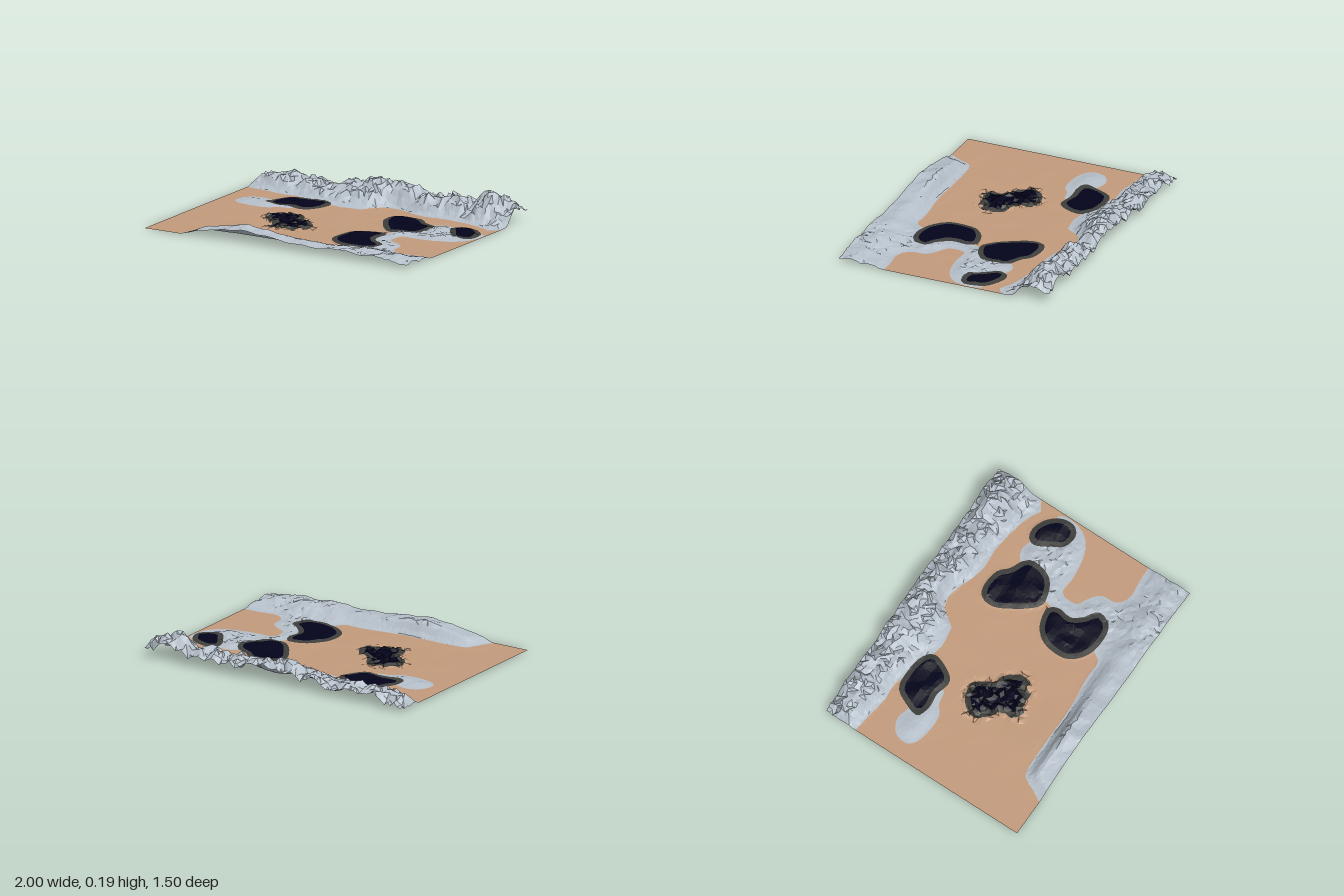
import * as THREE from 'three';

const NX = 76, NZ = 57, RIM = 0.036;

// Closed smooth outline through [x, z, x, z, ...]
function outline(c) {
  const pts = [];
  for (let i = 0; i < c.length; i += 2) pts.push(new THREE.Vector3(c[i], 0, c[i + 1]));
  return new THREE.CatmullRomCurve3(pts, true, 'centripetal').getPoints(80);
}

// Signed distance to an outline, positive inside
function inside(pts, x, z) {
  let best = 9, odd = false;
  for (let i = 1; i < pts.length; i++) {
    const a = pts[i - 1], b = pts[i], dx = b.x - a.x, dz = b.z - a.z;
    const t = THREE.MathUtils.clamp(((x - a.x) * dx + (z - a.z) * dz) / (dx * dx + dz * dz || 1), 0, 1);
    best = Math.min(best, Math.hypot(x - a.x - t * dx, z - a.z - t * dz));
    if ((a.z > z) !== (b.z > z) && x < a.x + ((z - a.z) / dz) * dx) odd = !odd;
  }
  return odd ? best : -best;
}

// Linear lookup in [x, value, x, value, ...]
function lookup(t, x) {
  for (let i = 2; i < t.length; i += 2) {
    if (x <= t[i]) return THREE.MathUtils.lerp(t[i - 1], t[i + 1], (x - t[i - 2]) / (t[i] - t[i - 2]));
  }
  return t[t.length - 1];
}

// Repeatable noise in -1..1
function hash(i, j) {
  const s = Math.sin(i * 127.1 + j * 311.7) * 43758.5453;
  return (s - Math.floor(s)) * 2 - 1;
}
function noise(x, z) {
  const i = Math.floor(x), j = Math.floor(z), u = x - i, v = z - j, L = THREE.MathUtils.lerp;
  return L(L(hash(i, j), hash(i + 1, j), u), L(hash(i, j + 1), hash(i + 1, j + 1), u), v);
}

// Pits
const pits = [
  [-0.69, -0.24, -0.66, -0.36, -0.6, -0.45, -0.48, -0.47, -0.35, -0.45, -0.28, -0.39, -0.32, -0.26, -0.38, -0.2, -0.5, -0.22, -0.6, -0.21],
  [0.21, -0.26, 0.22, -0.35, 0.28, -0.39, 0.43, -0.375, 0.49, -0.32, 0.6, -0.26, 0.61, -0.14, 0.57, -0.06, 0.48, -0.01, 0.4, 0, 0.33, -0.06, 0.26, -0.16],
  [0.17, 0.23, 0.2, 0.13, 0.28, 0.06, 0.4, 0.04, 0.44, 0.1, 0.43, 0.2, 0.48, 0.27, 0.56, 0.33, 0.55, 0.4, 0.5, 0.45, 0.35, 0.46, 0.25, 0.42, 0.18, 0.34],
  [0.71, -0.28, 0.73, -0.33, 0.8, -0.35, 0.9, -0.31, 0.96, -0.24, 0.97, -0.14, 0.92, -0.09, 0.82, -0.1, 0.77, -0.17],
].map(outline);
const raggedPit = outline([-0.5, 0.05, -0.44, -0.04, -0.38, -0.07, -0.31, -0.08, -0.25, -0.02, -0.22, 0.04, -0.13, 0.08, -0.07, 0.2, -0.09, 0.25, -0.15, 0.23, -0.14, 0.28, -0.24, 0.29, -0.3, 0.32, -0.36, 0.28, -0.36, 0.2, -0.45, 0.13]);

// Rock areas
const rocks = [
  [0.58, -0.3, 0.65, -0.33, 0.75, -0.3, 0.98, -0.25, 0.97, -0.08, 0.9, 0, 0.8, 0.04, 0.65, 0.06, 0.54, 0.06, 0.53, 0.18, 0.6, 0.22, 0.67, 0.28, 0.68, 0.38, 0.75, 0.44, 1.05, 0.44, 1.1, 0.85, -0.76, 0.85, -0.74, 0.75, -0.7, 0.68, -0.65, 0.58, -0.6, 0.56, -0.4, 0.55, -0.1, 0.55, 0.15, 0.52, 0.28, 0.52, 0.32, 0.46, 0.4, 0.35, 0.41, 0.1, 0.45, -0.05, 0.5, -0.2],
  [-0.89, -0.2, -0.87, -0.29, -0.78, -0.34, -0.68, -0.32, -0.5, -0.3, -0.45, -0.2, -0.55, -0.17, -0.6, -0.13, -0.72, -0.12, -0.85, -0.15],
].map(outline);
const backEdge = [-1, -0.52, -0.85, -0.5, -0.72, -0.48, -0.6, -0.49, -0.5, -0.46, -0.3, -0.4, -0.2, -0.38, -0.06, -0.4, -0.02, -0.46, 0.03, -0.52, 0.1, -0.54, 0.2, -0.52, 0.3, -0.48, 0.4, -0.46, 0.55, -0.47, 0.7, -0.45, 0.8, -0.43, 0.88, -0.4, 0.93, -0.37, 1, -0.42];

// Ridge crest heights along x
const backCrest = [-1, 0.03, -0.95, 0.065, -0.8, 0.085, -0.6, 0.09, -0.4, 0.08, -0.25, 0.12, -0.2, 0.1, -0.15, 0.14, -0.05, 0.145, 0.1, 0.14, 0.2, 0.125, 0.25, 0.1, 0.4, 0.105, 0.65, 0.09, 0.7, 0.13, 0.8, 0.175, 0.9, 0.14, 1, 0.08];
const frontCrest = [-0.72, 0, -0.6, 0.03, -0.4, 0.057, -0.25, 0.068, -0.1, 0.055, 0.1, 0.034, 0.3, 0.03, 0.55, 0.038, 0.75, 0.03, 1, 0.012];

// Ground point: position plus the three area fields
function groundPoint(i, j) {
  const edgeX = i === 0 || i === NX, edgeZ = j === 0 || j === NZ;
  const x = (i + (edgeX ? 0 : hash(i, j + 99) * 0.28)) * 2 / NX - 1;
  const z = (j + (edgeZ ? 0 : hash(i + 77, j) * 0.28)) * 1.5 / NZ - 0.75;
  const step = THREE.MathUtils.smoothstep;
  const back = lookup(backEdge, x) - z;
  const rock = Math.max(back, ...rocks.map((r) => inside(r, x, z)));
  const ragged = inside(raggedPit, x, z) + hash(i, j) * (0.003 + 0.006 * step(z, 0.08, 0.2));
  const pit = Math.max(ragged, ...pits.map((p) => inside(p, x, z)));
  const broad = noise(x * 15 + 40, z * 15 + 40);
  const rough = hash(i + 31, j + 17) * 0.45 + broad;

  let y = 0.005 + noise(x * 8 + 9, z * 8 + 9) * 0.002 * (1 - step(Math.abs(x), 0.6, 0.9));
  if (rock > 0) {
    const grow = step(rock, 0, 0.09);
    const jag = step(x, 0.3, 0.6);
    y += grow * (0.012 + rough * (0.002 + 0.01 * jag));
    // Front ridge, highest just inside the border
    const f = step(z, 0.46, 0.66) * (1 + 0.22 * Math.exp(-(((z - 0.64) / 0.06) ** 2)));
    y += f * grow * lookup(frontCrest, x) * (1 + 0.15 * broad);
  }
  if (back > 0) {
    // Jagged back ridge
    const near = step(back, 0, 0.1), rise = near * step(-z, 0.42, 0.67);
    y += rise * (lookup(backCrest, x) * (1 - 0.25 * step(-z, 0.68, 0.75)) - 0.01);
    y += rough * near * (0.01 + 0.022 * rise);
  }
  if (pit > -0.02) {
    const k = step(pit, -0.02, 0.05);
    const bump = ragged > -0.02 ? hash(i + 5, j + 3) * 0.012 : broad * 0.009 * k;
    y = THREE.MathUtils.lerp(y, 0.016, k) + bump;
  }
  return [x, Math.max(0, y), z, rock, pit, pit - RIM];
}

// Part of a polygon where field f has the given sign
function clip(poly, f, sign) {
  const out = [];
  poly.forEach((a, n) => {
    const b = poly[(n + 1) % poly.length], da = a[f] * sign, db = b[f] * sign;
    if (da >= 0) out.push(a);
    if (da * db < 0) out.push(a.map((v, k) => v + (b[k] - v) * da / (da - db)));
  });
  return out;
}

export function createModel() {
  const group = new THREE.Group();
  const parts = {
    sandFloor: ['sand', 0xc39b7c], rockRidges: ['rock', 0xb6c0ca],
    pitRims: ['charcoal', 0x3e3e3c], pitFloors: ['midnight', 0x03031b],
  };
  const faces = { sandFloor: [], rockRidges: [], pitRims: [], pitFloors: [] };
  const add = (name, poly) => {
    for (let k = 2; k < poly.length; k++) {
      for (const p of [poly[0], poly[k - 1], poly[k]]) faces[name].push(p[0], p[1], p[2]);
    }
  };

  const grid = [];
  for (let i = 0; i <= NX; i++) {
    grid.push([]);
    for (let j = 0; j <= NZ; j++) grid[i].push(groundPoint(i, j));
  }

  // Cut every ground triangle along the area borders
  for (let i = 0; i < NX; i++) {
    for (let j = 0; j < NZ; j++) {
      const a = grid[i][j], b = grid[i][j + 1], c = grid[i + 1][j + 1], d = grid[i + 1][j];
      const tris = hash(i + 13, j + 7) > 0 ? [[a, b, c], [a, c, d]] : [[a, b, d], [b, c, d]];
      for (const t of tris) {
        const hole = clip(t, 4, 1), land = clip(t, 4, -1);
        add('pitFloors', clip(hole, 5, 1));
        add('pitRims', clip(hole, 5, -1));
        add('rockRidges', clip(land, 3, 1));
        add('sandFloor', clip(land, 3, -1));
      }
    }
  }

  for (const [name, [colorName, color]] of Object.entries(parts)) {
    const geo = new THREE.BufferGeometry();
    geo.setAttribute('position', new THREE.Float32BufferAttribute(faces[name], 3));
    geo.computeVertexNormals();
    const mat = new THREE.MeshStandardMaterial({ color, side: THREE.DoubleSide, flatShading: true });
    mat.name = colorName;
    const mesh = new THREE.Mesh(geo, mat);
    mesh.name = name;
    group.add(mesh);
  }
  return group;
}
